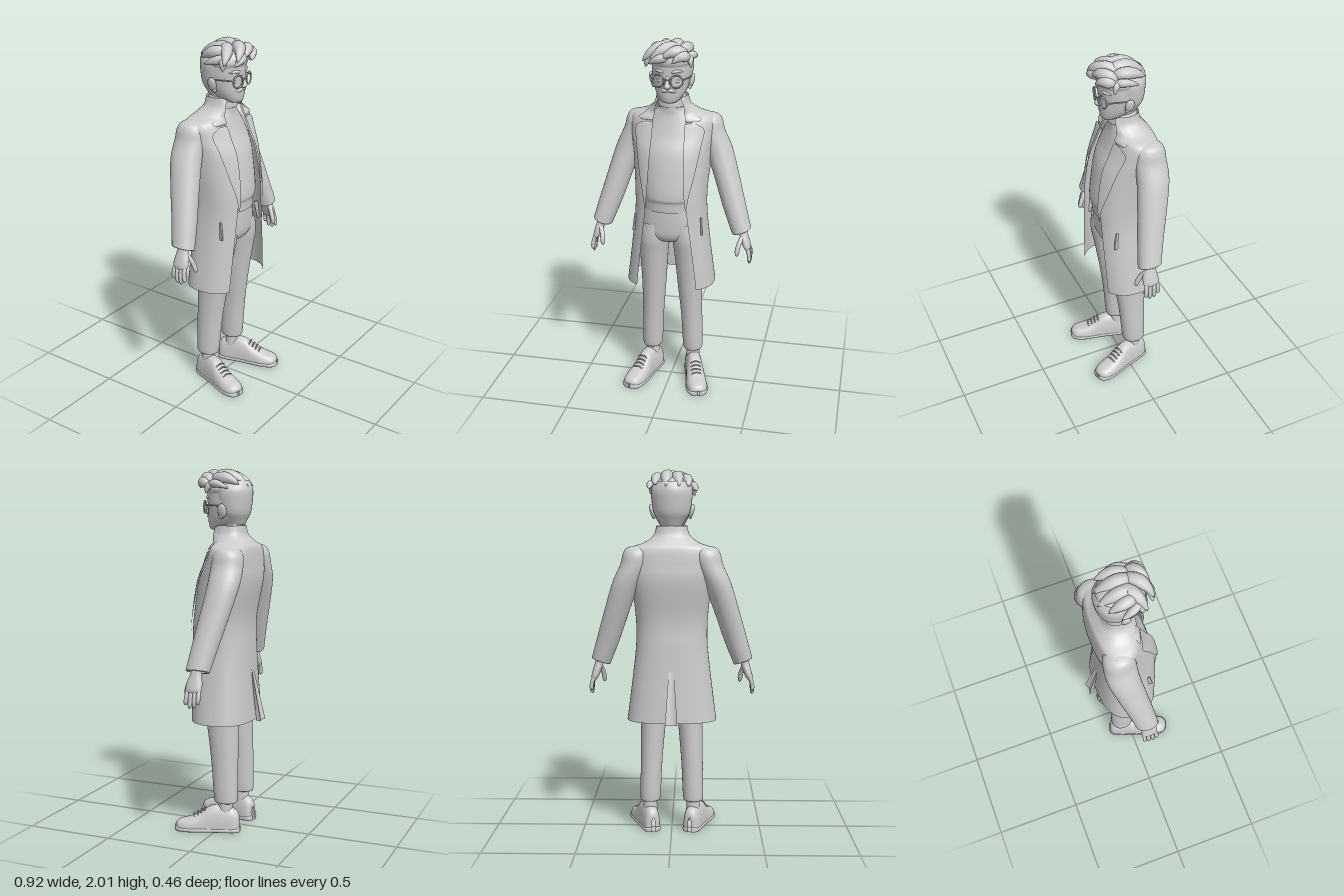
import * as THREE from 'three';
import { mergeVertices } from 'three/addons/utils/BufferGeometryUtils.js';

const clay = new THREE.MeshStandardMaterial({ color: 0xcccccc, side: THREE.DoubleSide });
clay.name = 'light grey';
const spow = (v, p) => Math.sign(v) * Math.abs(v) ** p;

// Catmull-Rom blend of all columns of a table, t in 0..1
function at(rows, t) {
  const n = rows.length - 1, s = Math.min(Math.max(t, 0), 1) * n;
  const i = Math.min(Math.floor(s), n - 1), f = s - i;
  const r = k => rows[Math.min(Math.max(k, 0), n)];
  return rows[0].map((_, c) => {
    const [a, b, d, e] = [r(i - 1)[c], r(i)[c], r(i + 1)[c], r(i + 2)[c]];
    return b + 0.5 * f * (d - a + f * (2 * a - 5 * b + 4 * d - e + f * (3 * (b - d) + e - a)));
  });
}

// Surface from f(u, v) -> [x, y, z]; u runs top to bottom, v around
function grid(nu, nv, f) {
  const pos = [], idx = [];
  for (let i = 0; i <= nu; i++) for (let j = 0; j <= nv; j++) pos.push(...f(i / nu, j / nv));
  for (let i = 0; i < nu; i++) for (let j = 0; j < nv; j++) {
    const a = i * (nv + 1) + j, c = a + nv + 1;
    idx.push(a, a + 1, c, a + 1, c + 1, c);
  }
  let g = new THREE.BufferGeometry();
  g.setAttribute('position', new THREE.Float32BufferAttribute(pos, 3));
  g.setIndex(idx);
  g = mergeVertices(g, 1e-5);
  g.computeVertexNormals();
  return g;
}

// Closed rings: [y, cx, cz, rx, rz, tilt]
const loft = (rows, p = 1, nu = 36, nv = 36) => grid(nu, nv, (u, v) => {
  const [y, cx, cz, rx, rz, tilt] = at(rows.map(r => [...r, 0].slice(0, 6)), u);
  const a = v * Math.PI * 2, x = rx * spow(Math.cos(a), p);
  return [cx + x, y + tilt * x, cz + rz * spow(Math.sin(a), p)];
});

// Round strand along a bent path with a radius rule
function strand(a, b, c, radius, n = 14) {
  const curve = new THREE.QuadraticBezierCurve3(...[a, b, c].map(q => new THREE.Vector3(...q)));
  const fr = curve.computeFrenetFrames(n);
  return grid(n, 10, (u, v) => {
    const k = Math.round(u * n), w = -v * Math.PI * 2, r = radius(u);
    return curve.getPoint(u).addScaledVector(fr.normals[k], r * Math.cos(w))
      .addScaledVector(fr.binormals[k], r * Math.sin(w)).toArray();
  });
}
const finger = r => t => r * Math.min(1, Math.sqrt(Math.max(0, 1 - ((t - 0.75) / 0.25) ** 2 * (t > 0.75))));
const lockR = r => t => r * Math.max(0, Math.sin(Math.PI * t ** 0.75)) ** 0.7;

// Coat: [y, half width, z centre, front depth, back depth, front edge x]
const COAT = [
  [1.71, 0.085, -0.035, 0.085, 0.07, 0.06], [1.66, 0.1, -0.04, 0.1, 0.075, 0.08],
  [1.62, 0.15, -0.06, 0.105, 0.085, 0.085], [1.585, 0.23, -0.08, 0.135, 0.087, 0.09],
  [1.5, 0.235, -0.08, 0.17, 0.097, 0.092], [1.4, 0.22, -0.07, 0.205, 0.11, 0.095],
  [1.2, 0.2, -0.02, 0.19, 0.13, 0.105], [1.05, 0.2, -0.01, 0.185, 0.142, 0.12],
  [0.85, 0.222, -0.01, 0.185, 0.15, 0.145], [0.63, 0.25, -0.015, 0.185, 0.158, 0.17]];
const P = 0.8;
function coatAt(y) {
  let lo = 0, hi = 1;
  for (let i = 0; i < 30; i++) {
    const m = (lo + hi) / 2;
    if (at(COAT, m)[0] > y) lo = m; else hi = m;
  }
  return at(COAT, lo);
}
function coatZ(x, y) {
  const [, rx, zc, rf] = coatAt(y);
  const c = Math.min(1, x / rx) ** (1 / P);
  return zc + rf * Math.sqrt(1 - c * c) ** P;
}
// Layer lying on the coat front between its edge and an outer line [y, x]
const lapelPatch = outer => grid(24, 8, (u, v) => {
  const [y, xo] = at(outer, u), row = coatAt(y), xi = row[5] - 0.003;
  const x = xi + (Math.min(xo, row[1] * 0.95) - xi) * (1 - v);
  return [x, y, coatZ(x, y) + 0.004 + 0.008 * Math.min(1, 4 * Math.min(u, 1 - u) + 0.4)];
});

// Shoe: [along, half width, height]
const SHOE = [[-0.168, 0.01, 0.08], [-0.16, 0.035, 0.11], [-0.13, 0.047, 0.135], [-0.06, 0.05, 0.15],
  [-0.01, 0.052, 0.14], [0.04, 0.057, 0.1], [0.1, 0.06, 0.073], [0.145, 0.05, 0.06], [0.165, 0.03, 0.045], [0.17, 0.005, 0.03]];
const shoeShell = (grow, cap) => grid(36, 28, (u, v) => {
  const [s, w, h] = at(SHOE, u), a = -v * Math.PI * 2;
  const top = Math.min(h, cap), sn = Math.sin(a);
  return [w * grow * spow(Math.cos(a), 0.75), sn > 0 ? 0.012 + (top - 0.012) * sn ** 0.8 : 0.012 * (1 - Math.min(1, -3 * sn)), s * 1.07 * (1 + (grow - 1) * 0.4)];
});

export function createModel() {
  const root = new THREE.Group();
  const add = (name, geo, parent = root) => {
    const m = new THREE.Mesh(geo, clay);
    m.name = name;
    parent.add(m);
    return m;
  };
  const ball = (name, x, y, z, sx, sy, sz, parent = root) => {
    const m = add(name, new THREE.SphereGeometry(1, 20, 14), parent);
    m.position.set(x, y, z);
    m.scale.set(sx, sy, sz);
    return m;
  };

  // Clothes on the trunk
  add('coatBody', grid(64, 72, (u, v) => {
    const [y, rx, zc, rf, rb, edge] = at(COAT, u);
    const a0 = Math.acos(Math.min(1, edge / rx) ** (1 / P));
    const a = Math.PI - a0 + v * (Math.PI + 2 * a0), s = Math.sin(a);
    return [rx * spow(Math.cos(a), P), y, zc + (s > 0 ? rf : rb) * spow(s, P)];
  }));
  add('coatVentFlap', grid(12, 16, (u, v) => {
    const x = (v - 0.5) * 2, y = 0.95 - 0.32 * u, bow = 0.012 * (1 - x * x);
    return [x * (0.012 + 0.022 * u), y, -0.15 - 0.072 * u + bow * u];
  }));
  for (const s of [-1, 1]) add('ventFlapSide', grid(8, 2, (u, v) =>
    [s * (0.012 + 0.022 * u - 0.01 * v), 0.95 - 0.32 * u, -0.15 - 0.072 * u + v * (0.005 + 0.027 * u)]));
  add('sweater', loft([[1.7, 0, -0.025, 0.07, 0.07], [1.64, 0, -0.028, 0.072, 0.076], [1.6, 0, -0.035, 0.11, 0.085],
    [1.5, 0, -0.03, 0.17, 0.108], [1.4, 0, -0.02, 0.18, 0.138], [1.25, 0, 0, 0.17, 0.145],
    [1.16, 0, 0.007, 0.162, 0.146], [1.13, 0, 0.007, 0.153, 0.136], [1.08, 0, 0.007, 0.15, 0.133]], 0.95, 48));
  add('turtleneckFold', loft([[1.712, 0, -0.025, 0.066, 0.066], [1.708, 0, -0.025, 0.074, 0.075],
    [1.68, 0, -0.025, 0.077, 0.079], [1.655, 0, -0.025, 0.078, 0.08], [1.65, 0, -0.025, 0.07, 0.074]]));
  add('trouserHips', loft([[1.1, 0, 0.005, 0.145, 0.125], [1.0, 0, 0, 0.168, 0.128],
    [0.93, 0, 0, 0.165, 0.12], [0.89, 0, 0, 0.1, 0.09], [0.875, 0, 0, 0.02, 0.03]], 0.9));

  // Face and head
  const head = new THREE.Group();
  head.name = 'head';
  root.add(head);
  add('face', loft([[1.683, 0, 0.065, 0.004, 0.004], [1.688, 0, 0.055, 0.038, 0.035], [1.71, 0, 0.025, 0.064, 0.074],
    [1.75, 0, -0.005, 0.087, 0.108], [1.8, 0, -0.015, 0.1, 0.117], [1.86, 0, -0.015, 0.106, 0.12],
    [1.92, 0, -0.015, 0.1, 0.112], [1.955, 0, -0.015, 0.05, 0.06]], 0.95), head);
  add('neck', new THREE.CylinderGeometry(0.062, 0.062, 0.14, 28).translate(0, 1.72, -0.035), head);
  ball('nose', 0, 1.782, 0.108, 0.018, 0.016, 0.021, head);
  add('noseBridge', strand([0, 1.835, 0.096], [0, 1.81, 0.106], [0, 1.78, 0.12], t => 0.008 + 0.006 * t), head);
  ball('lowerLip', 0, 1.725, 0.088, 0.024, 0.007, 0.01, head);
  add('glassesBridge', strand([-0.018, 1.815, 0.118], [0, 1.825, 0.122], [0.018, 1.815, 0.118], () => 0.0035), head);

  // Hair
  add('shortBackHair', loft([[1.95, 0, -0.03, 0.09, 0.1], [1.9, 0, -0.035, 0.113, 0.112], [1.84, 0, -0.04, 0.11, 0.104],
    [1.78, 0, -0.045, 0.098, 0.09], [1.74, 0, -0.045, 0.075, 0.072], [1.715, 0, -0.045, 0.06, 0.06]]), head);
  add('hairCap', loft([[1.975, 0, 0, 0.002, 0.002], [1.972, 0, 0, 0.05, 0.06], [1.95, 0, -0.005, 0.09, 0.108],
    [1.91, 0, -0.01, 0.114, 0.126], [1.882, 0, -0.01, 0.108, 0.117]]), head);
  const locks = [
    [[0.09, 1.93, 0.04], [0.06, 2.0, 0.11], [-0.03, 1.93, 0.13], 0.034], [[0.05, 1.95, 0], [0.0, 2.02, 0.11], [-0.09, 1.92, 0.13], 0.035],
    [[0.02, 1.95, -0.03], [-0.06, 2.01, 0.06], [-0.14, 1.905, 0.08], 0.035], [[0.1, 1.92, 0.06], [0.09, 1.97, 0.11], [0.03, 1.91, 0.14], 0.03],
    [[0, 1.93, 0.08], [-0.03, 1.95, 0.14], [-0.1, 1.9, 0.12], 0.028], [[0.06, 1.95, 0.06], [0.09, 1.99, -0.02], [0.09, 1.93, -0.11], 0.034],
    [[0.02, 1.96, 0.07], [0.03, 2.01, -0.03], [0.03, 1.92, -0.14], 0.038], [[-0.03, 1.96, 0.06], [-0.03, 2.0, -0.03], [-0.04, 1.92, -0.14], 0.036],
    [[-0.06, 1.95, 0.06], [-0.09, 1.98, -0.02], [-0.09, 1.92, -0.1], 0.034], [[-0.08, 1.94, 0.07], [-0.13, 1.93, 0.02], [-0.135, 1.9, -0.05], 0.024],
    [[0.1, 1.93, 0.06], [0.125, 1.95, 0.02], [0.125, 1.91, -0.06], 0.022], [[0.1, 1.94, 0.03], [0.115, 1.93, 0.07], [0.12, 1.88, 0.07], 0.018],
    [[-0.1, 1.94, 0.03], [-0.12, 1.92, 0.07], [-0.125, 1.87, 0.06], 0.02]];
  for (const [a, b, c, r] of locks) add('hairLock', strand(a, b, c, lockR(r)), head);

  // Mirrored parts
  const side = new THREE.Group();
  side.name = 'leftSide';
  add('sleeve', loft([[1.605, 0.18, -0.085, 0.005, 0.005], [1.592, 0.185, -0.087, 0.058, 0.055], [1.56, 0.192, -0.09, 0.074, 0.08],
    [1.5, 0.205, -0.09, 0.077, 0.087], [1.4, 0.25, -0.087, 0.076, 0.087], [1.25, 0.302, -0.06, 0.068, 0.08, 0.1],
    [1.1, 0.35, -0.03, 0.061, 0.072, 0.25], [0.96, 0.398, -0.004, 0.052, 0.065, 0.35]], 0.95, 44), side);
  add('sleeveLining', loft([[0.958, 0.398, -0.004, 0.052, 0.065, 0.35], [0.965, 0.398, -0.004, 0.042, 0.052, 0.35],
    [1.02, 0.378, -0.013, 0.042, 0.05, 0.35]]), side);
  add('palm', loft([[1.0, 0.395, -0.002, 0.025, 0.03], [0.95, 0.408, 0, 0.024, 0.031], [0.91, 0.42, 0.003, 0.024, 0.042],
    [0.87, 0.433, 0.003, 0.021, 0.046], [0.85, 0.438, 0.003, 0.012, 0.035]], 0.9, 20, 24), side);
  [[0.036, 0.785], [0.014, 0.766], [-0.009, 0.77], [-0.031, 0.793]].forEach(([z, y]) =>
    add('finger', strand([0.432, 0.875, z * 0.9], [0.458, 0.83, z * 1.05], [0.449, y, z * 1.1 + 0.004], finger(0.0115)), side));
  add('thumb', strand([0.41, 0.93, 0.02], [0.385, 0.89, 0.06], [0.385, 0.825, 0.07], finger(0.0135)), side);
  add('lapel', lapelPatch([[1.572, 0.135], [1.565, 0.16], [1.535, 0.19], [1.45, 0.178], [1.3, 0.152], [1.2, 0.13], [1.11, 0.115]]), side);
  add('collar', lapelPatch([[1.705, 0.075], [1.66, 0.1], [1.62, 0.135], [1.595, 0.17], [1.58, 0.155]]), side);
  const pocket = add('pocketWelt', new THREE.BoxGeometry(0.008, 0.1, 0.03), side);
  pocket.position.set(0.186, 1.0, coatZ(0.186, 1.0));
  pocket.rotation.set(-0.2, 0.35, 0.1);
  add('trouserLeg', loft([[1.0, 0.085, 0, 0.078, 0.118], [0.9, 0.095, 0, 0.086, 0.12], [0.8, 0.1, -0.006, 0.08, 0.108],
    [0.6, 0.105, -0.022, 0.069, 0.09], [0.4, 0.114, -0.037, 0.061, 0.077], [0.19, 0.121, -0.047, 0.057, 0.067],
    [0.186, 0.121, -0.047, 0.048, 0.057], [0.25, 0.12, -0.045, 0.045, 0.055]], 0.95, 48), side);
  add('ankle', new THREE.CylinderGeometry(0.036, 0.04, 0.16, 24).translate(0.122, 0.18, -0.045), side);

  // Shoe, turned outward
  const shoe = new THREE.Group();
  shoe.name = 'shoe';
  shoe.position.set(0.153, 0, 0.05);
  shoe.rotation.y = 0.29;
  side.add(shoe);
  add('shoeUpper', shoeShell(1, 1), shoe);
  add('shoeSole', shoeShell(1.07, 0.028), shoe);
  for (let i = 0; i < 4; i++) {
    const x = 0.028, z = 0.015 + i * 0.02, y = 0.132 - i * 0.013;
    add('lace', strand([-x, y - 0.012, z], [0, y + 0.012, z + 0.006], [x, y - 0.012, z], () => 0.004), shoe);
  }

  // Ear, spectacles, brow and moustache
  ball('ear', 0.108, 1.79, -0.018, 0.014, 0.04, 0.026, side).rotation.z = -0.25;
  ball('earLobe', 0.1, 1.762, -0.008, 0.01, 0.016, 0.014, side);
  const rim = add('glassesRim', new THREE.TorusGeometry(0.033, 0.0042, 10, 32), side);
  rim.position.set(0.05, 1.81, 0.108);
  rim.rotation.y = 0.25;
  add('glassesTemple', strand([0.082, 1.818, 0.1], [0.11, 1.822, 0.05], [0.108, 1.815, -0.02], () => 0.0035), side);
  ball('eye', 0.045, 1.808, 0.079, 0.017, 0.013, 0.014, side);
  add('eyebrow', strand([0.02, 1.852, 0.1], [0.05, 1.87, 0.1], [0.08, 1.852, 0.065], lockR(0.009)), side);
  add('moustache', strand([-0.004, 1.757, 0.098], [0.025, 1.765, 0.105], [0.052, 1.742, 0.072], lockR(0.011)), side);

  const other = side.clone();
  other.name = 'rightSide';
  other.scale.x = -1;
  root.add(side, other);
  return root;
}
